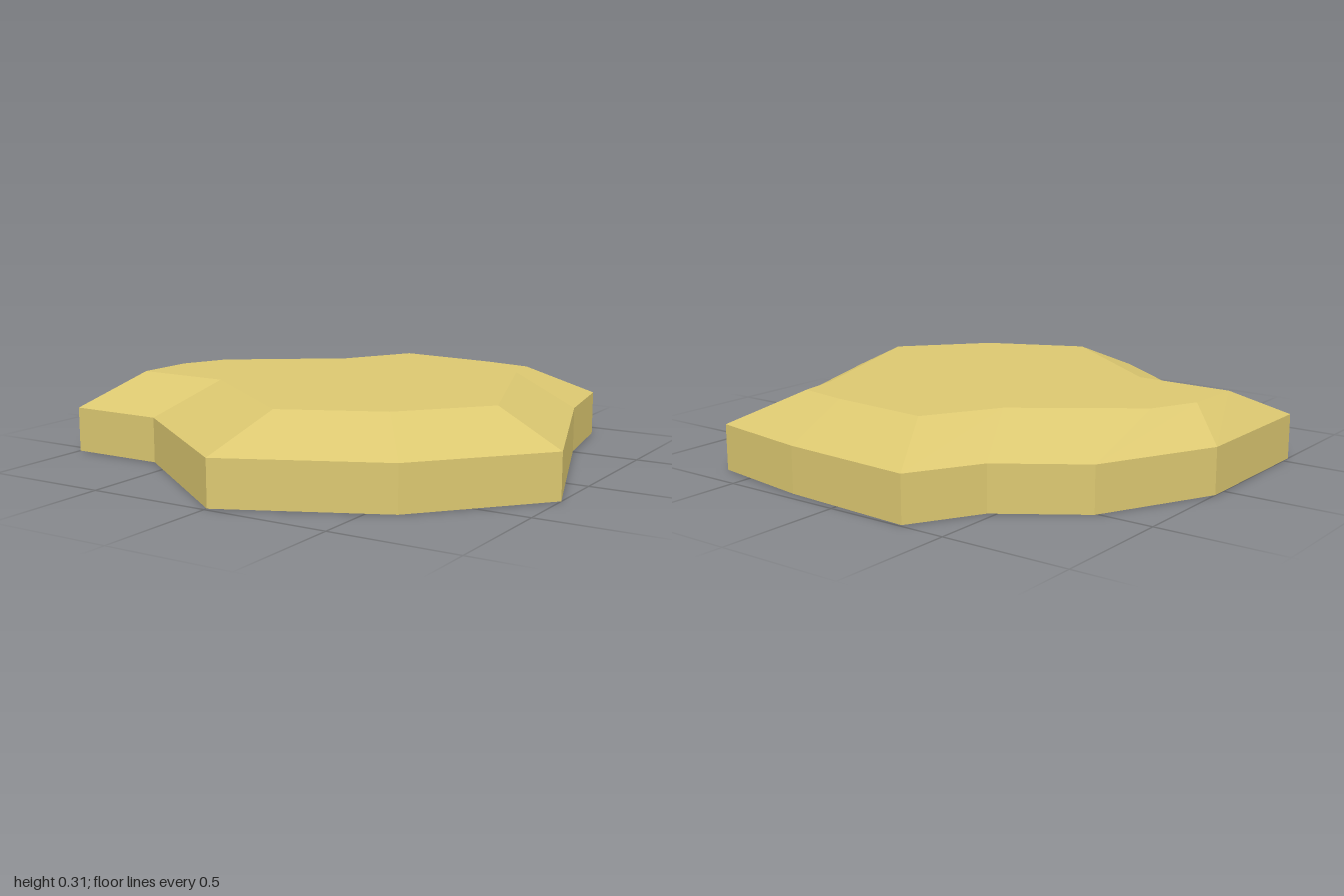
import * as THREE from 'three';

// Outline corners as [x, z], listed clockwise from above, starting at the back
const OUTER = [
  [-0.315, -0.99], [0.23, -0.957], [0.652, -0.887], [0.722, -0.512], [1, 0.25], [0.6, 0.705],
  [0, 0.985], [-0.605, 0.545], [-1, 0.545], [-1, -0.06], [-0.775, -0.51], [-0.47, -0.72],
];
const INNER = [
  [-0.177, -0.732], [0.23, -0.704], [0.433, -0.67], [0.46, -0.512], [0.717, 0.188], [0.444, 0.497],
  [0.064, 0.675], [-0.472, 0.282], [-0.866, 0.278], [-0.86, 0.038], [-0.775, -0.143], [-0.342, -0.453],
];
const SHOULDER = 0.18;
const TOP = 0.305;

// Band of flat quads joining a lower outline to an upper one
function band(lower, y0, upper, y1) {
  const positions = [];
  lower.forEach((p, i) => {
    const j = (i + 1) % lower.length;
    const a = [p[0], y0, p[1]];
    const b = [lower[j][0], y0, lower[j][1]];
    const c = [upper[j][0], y1, upper[j][1]];
    const d = [upper[i][0], y1, upper[i][1]];
    positions.push(...b, ...a, ...d, ...b, ...d, ...c);
  });
  const geometry = new THREE.BufferGeometry();
  geometry.setAttribute('position', new THREE.Float32BufferAttribute(positions, 3));
  geometry.computeVertexNormals();
  return geometry;
}

// Flat face filling an outline, turned up (side = 1) or down (side = -1)
function cap(outline, y, side) {
  const shape = new THREE.Shape(outline.map(([x, z]) => new THREE.Vector2(x, -side * z)));
  return new THREE.ShapeGeometry(shape).rotateX(-side * Math.PI / 2).translate(0, y, 0);
}

export function createModel() {
  const sand = new THREE.MeshStandardMaterial({ color: 0xdbc770 });
  sand.name = 'sand';
  sand.flatShading = true;

  const group = new THREE.Group();
  group.name = 'rockSlab';
  const add = (name, geometry) => {
    const mesh = new THREE.Mesh(geometry, sand);
    mesh.name = name;
    group.add(mesh);
  };

  add('sideWall', band(OUTER, 0, OUTER, SHOULDER));
  add('slopedRim', band(OUTER, SHOULDER, INNER, TOP));
  add('topFace', cap(INNER, TOP, 1));
  add('underside', cap(OUTER, 0, -1));
  return group;
}
